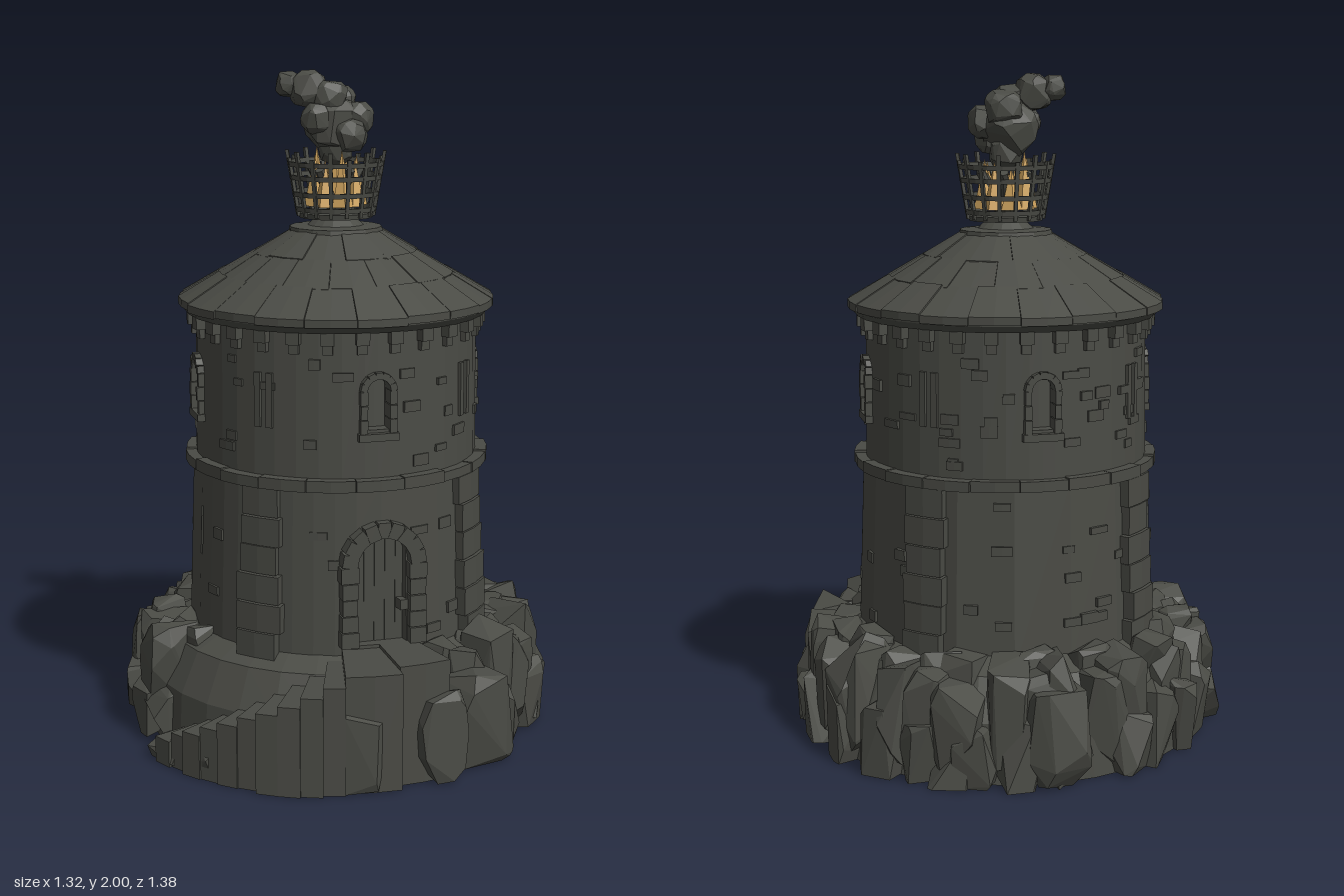
import * as THREE from 'three';
import { mergeGeometries } from 'three/addons/utils/BufferGeometryUtils.js';
import { ConvexGeometry } from 'three/addons/geometries/ConvexGeometry.js';

const PI = Math.PI, DEG = PI / 180;
let seed = 7;
const rand = (a = 0, b = 1) => {
  seed = (seed * 16807) % 2147483647;
  return a + (b - a) * seed / 2147483647;
};

// Box bent around the tower axis; phi 0 faces the front
function block(phi, w, r0, r1, y0, y1, { n = 1, slope = 0, fall = 0 } = {}) {
  const g = new THREE.BoxGeometry(w, y1 - y0, r1 - r0, n, 1, 1);
  g.translate(phi, (y0 + y1) / 2, (r0 + r1) / 2);
  const p = g.attributes.position;
  for (let i = 0; i < p.count; i++) {
    const a = p.getX(i), y = p.getY(i), z = p.getZ(i);
    const r = z - slope * (y - y0);
    p.setXYZ(i, r * Math.sin(a), y + fall * (z - r0), r * Math.cos(a));
  }
  return g;
}

// Faceted boulder with half sizes w, h, d, kept above the ground
function rock(phi, r, y, w, h, d, power = 0.6, count = 18) {
  const pts = [];
  for (let i = 0; i < count; i++) {
    const v = new THREE.Vector3(rand(-1, 1), rand(-1, 1), rand(-1, 1)).normalize();
    const f = (c) => Math.sign(c) * Math.abs(c) ** power;
    v.set(f(v.x) * w, Math.max(0, y + f(v.y) * h), r + f(v.z) * d);
    pts.push(v.applyAxisAngle(new THREE.Vector3(0, 1, 0), phi));
  }
  return new ConvexGeometry(pts);
}

const lathe = (pts, n = 32) => new THREE.LatheGeometry(pts.map(([x, y]) => new THREE.Vector2(x, y)), n);

// Curved wall with rectangular openings [phi, half angle, bottom, top]
function wall(y0, y1, r0, r1, slope, openings) {
  const out = [];
  openings.forEach(([phi, hw, a, b], i) => {
    const next = openings[(i + 1) % openings.length];
    const end = next[0] - next[1] + (i === openings.length - 1 ? 2 * PI : 0), start = phi + hw;
    out.push(block((start + end) / 2, end - start, r0, r1, y0, y1, { n: 9, slope }));
    const at = (y) => slope * (y - y0);
    if (a > y0) out.push(block(phi, 2 * hw, r0, r1, y0, a, { n: 2, slope }));
    out.push(block(phi, 2 * hw, r0 - at(b), r1 - at(b), b, y1, { n: 2, slope }));
  });
  return out;
}

// Arched stone surround made of jamb blocks and wedge stones
function archFrame(phi, half, y0, spring, t, z0, z1, jambs, stones) {
  const out = [], depth = z1 - z0, zc = (z0 + z1) / 2, h = (spring - y0) / jambs;
  for (const s of [-1, 1]) for (let i = 0; i < jambs; i++)
    out.push(new THREE.BoxGeometry(t * rand(0.9, 1.15), h * 0.95, depth + rand(-0.006, 0.006))
      .translate(s * (half + t / 2), y0 + h * (i + 0.5), zc));
  for (let i = 0; i < stones; i++) {
    const a = PI * (i + 0.5) / stones - PI / 2;
    out.push(new THREE.BoxGeometry((half + t / 2) * PI / stones * 1.06, t, depth + rand(-0.006, 0.006))
      .translate(0, half + t / 2, 0).rotateZ(a).translate(0, spring, zc));
  }
  return out.map((g) => g.rotateY(phi));
}

export function createModel() {
  seed = 7;
  const stone = new THREE.MeshStandardMaterial({ color: 0x4a4b45 });
  stone.name = 'dark stone';
  const flame = new THREE.MeshStandardMaterial({ color: 0xd2a660 });
  flame.name = 'flame';
  const model = new THREE.Group();
  model.name = 'watchtower';
  model.position.z = -0.02;
  const part = (name, geos, mat = stone) => {
    const flat = geos.map((g) => {
      const f = g.index ? g.toNonIndexed() : g;
      f.deleteAttribute('uv');
      f.computeVertexNormals();
      return f;
    });
    const mesh = new THREE.Mesh(mergeGeometries(flat), mat);
    mesh.name = name;
    model.add(mesh);
  };

  // Rocky mound, lower where the stair climbs round the front
  const steps = 10, low = -66 * DEG, high = -14 * DEG;
  const onStair = (a) => a > low - 0.06 && a < 0.3;
  part('moundCore', [lathe([[0, 0], [0.6, 0], [0.59, 0.18], [0.53, 0.3], [0.44, 0.34], [0, 0.34]])]);
  const rocks = [];
  for (let i = 0; i < 34; i++) {
    const a = -PI + (i + rand(0.1, 0.9)) * 2 * PI / 34;
    if (onStair(a)) continue;
    const top = rand(0.32, 0.385);
    rocks.push(rock(a, rand(0.52, 0.55), top / 2, rand(0.06, 0.085), top / 2 + 0.01, rand(0.095, 0.12)));
  }
  for (let i = 0; i < 30; i++) {
    const a = -PI + (i + rand()) * 2 * PI / 30;
    if (onStair(a)) {
      const top = 0.06 + 0.24 * Math.min(1, Math.max(0, (a - low) / (high - low)));
      rocks.push(rock(a, 0.62, top * 0.4, 0.085, top * 0.55, 0.085));
    } else rocks.push(rock(a, 0.56, 0.08, 0.075, rand(0.1, 0.17), rand(0.1, 0.12)));
  }
  for (let i = 0; i < 24; i++) {
    const a = -PI + (i + rand()) * 2 * PI / 24;
    if (!onStair(a)) rocks.push(rock(a, rand(0.47, 0.53), 0.29, 0.075, rand(0.06, 0.09), 0.06));
  }
  rocks.push(rock(27 * DEG, 0.6, 0.14, 0.13, 0.16, 0.1), rock(180 * DEG, 0.59, 0.15, 0.1, 0.16, 0.1));
  part('moundRocks', rocks);

  // Curving stair and landing
  const stair = [];
  const sw = (high - low) / steps;
  for (let i = 0; i < steps; i++)
    stair.push(block(low + sw * (i + 0.5), sw * 1.02, 0.42, 0.7 + rand(-0.012, 0.015), 0, 0.08 + i * 0.027));
  stair.push(block(-7 * DEG, 14 * DEG, 0.42, 0.68, 0, 0.35, { n: 2 }), block(7 * DEG, 14 * DEG, 0.42, 0.65, 0, 0.36, { n: 2 }));
  part('stair', stair);

  // Tower walls with door, slits and windows
  const side = PI / 2 - 0.15;
  part('lowerWall', wall(0.3, 0.84, 0.38, 0.458, 0.035,
    [[-side, 0.014, 0.56, 0.71], [0.02, 0.17, 0.36, 0.7], [side, 0.014, 0.56, 0.71]]));
  const quarters = [0, 1, 2, 3].map((i) => i * PI / 2);
  part('upperWall', wall(0.84, 1.31, 0.37, 0.432, 0.012, quarters.map((a) => [a, 0.09, 1.0, 1.145])));
  part('upperCore', [lathe([[0, 0.84], [0.39, 0.84], [0.385, 1.3], [0, 1.3]])]);
  part('door', [-2, -1, 0, 1, 2].map((i) => new THREE.BoxGeometry(0.031, 0.36, 0.02).translate(0.01 + i * 0.032, 0.53, 0.41)));
  part('doorFrame', archFrame(0, 0.08, 0.36, 0.605, 0.047, 0.39, 0.474, 5, 9).map((g) => g.translate(0.01, 0, 0)));
  part('windowFrames', quarters.flatMap((a) => [
    ...archFrame(a, 0.034, 0.99, 1.115, 0.02, 0.39, 0.445, 3, 7),
    new THREE.BoxGeometry(0.12, 0.022, 0.06).translate(0, 0.98, 0.418).rotateY(a)]));
  part('slitFrames', [45, 135, 225, 315].flatMap((d) => [-1, 1].map((s) =>
    block(d * DEG + s * 0.045, 0.045, 0.4, 0.438, 1.0, 1.16))));

  // Corner buttresses of stacked blocks
  const buttress = [];
  for (const d of [45, 135, 225, 315]) for (let i = 0; i < 6; i++) {
    const y = 0.31 + i * 0.086;
    buttress.push(block(d * DEG + rand(-0.01, 0.01), rand(0.25, 0.31), 0.4, 0.488 - i * 0.005 + rand(-0.004, 0.004), y, y + 0.084, { n: 2 }));
  }
  part('buttresses', buttress);

  // Scattered raised bricks
  const bricks = [];
  for (let i = 0; i < 110; i++) {
    const upper = i % 2, a = rand(0, 2 * PI);
    const row = Math.floor(rand(0, 10));
    const y = upper ? 0.88 + row * 0.033 : 0.37 + row * 0.044;
    const r = upper ? 0.432 : 0.458 - 0.035 * (y - 0.3);
    const q = Math.abs(Math.sin(a * 2));
    if (q < 0.3) continue;
    bricks.push(block(a, rand(0.07, 0.15), r - 0.03, r + rand(0.002, 0.007), y, y + rand(0.02, 0.034), { n: 2 }));
  }
  part('raisedBricks', bricks);

  // String course, corbels and eave ring
  const ring = [], corbels = [];
  for (let i = 0; i < 20; i++)
    ring.push(block(i * PI / 10, PI / 10 * 0.985, 0.4, 0.464 + rand(-0.005, 0.005), 0.825, 0.857 + rand(-0.004, 0.004), { n: 2 }));
  for (let i = 0; i < 28; i++) {
    const a = (i + 0.5) * PI / 14;
    corbels.push(block(a, 0.085, 0.4, 0.455, 1.25, 1.3), block(a, 0.065, 0.4, 0.443, 1.222, 1.25));
  }
  part('stringCourse', ring);
  part('corbels', corbels);
  part('eave', [lathe([[0, 1.285], [0.455, 1.285], [0.472, 1.305], [0.474, 1.325], [0, 1.325]])]);

  // Conical roof of overlapping slabs
  part('roofCore', [lathe([[0, 1.31], [0.474, 1.31], [0.474, 1.322], [0.13, 1.524], [0, 1.524]])]);
  const tiles = [], fall = -0.585;
  for (const [r0, r1, n, turn] of [[0.13, 0.25, 12, 0.1], [0.245, 0.36, 16, 0.25], [0.355, 0.48, 20, 0]])
    for (let i = 0; i < n; i++) {
      const y = 1.324 + (0.474 - r0) * 0.585 + rand(-0.002, 0.004), w = 2 * PI / n;
      tiles.push(block(turn + i * w, w * 0.99, r0, r1 + rand(-0.004, 0.003), y - 0.015, y + 0.008, { n: 2, fall }));
    }
  part('roofSlabs', tiles);
  part('roofCap', [lathe([[0, 1.5], [0.145, 1.515], [0.14, 1.538], [0.085, 1.542], [0.065, 1.56], [0.05, 1.565], [0.06, 1.58], [0, 1.58]], 16)]);

  // Iron fire basket
  const basket = [lathe([[0, 1.565], [0.112, 1.565], [0.115, 1.58], [0, 1.58]], 16)];
  const rAt = (y) => 0.115 + (y - 1.57) * 0.17;
  for (const y of [1.585, 1.63, 1.68, 1.72]) {
    const r = rAt(y);
    basket.push(lathe([[r - 0.005, y], [r + 0.005, y], [r + 0.007, y + 0.014], [r - 0.003, y + 0.014], [r - 0.005, y]], 20));
  }
  for (let i = 0; i < 16; i++) {
    const tall = 1.745 + (i % 2) * 0.02;
    basket.push(block(i * PI / 8, 0.085, 0.11, 0.12, 1.57, tall, { slope: -0.17 }));
  }
  part('fireBasket', basket);

  // Flames and burning logs
  const flames = [], logs = [];
  for (let i = 0; i < 9; i++) {
    const a = i * 2 * PI / 8, r = i === 8 ? 0 : 0.065, h = rand(0.12, 0.18);
    flames.push(new THREE.ConeGeometry(0.034, h, 5).translate(0, 1.6 + h / 2, r).rotateY(a));
    if (i < 5) logs.push(new THREE.CylinderGeometry(0.016, 0.018, 0.15, 6).rotateX(0.5)
      .translate(0, 1.645, 0.04).rotateY(i * 1.256 + 0.3));
  }
  part('flames', flames, flame);
  part('logs', logs);

  // Smoke plume
  const puffs = [
    [0, 1.77, 0, 0.055], [-0.01, 1.84, -0.01, 0.088], [0.06, 1.86, 0.01, 0.055], [-0.065, 1.86, 0.02, 0.05],
    [0.02, 1.9, -0.05, 0.06], [-0.02, 1.92, 0, 0.06], [-0.08, 1.945, -0.02, 0.06], [-0.135, 1.96, -0.04, 0.042],
    [0.03, 1.81, 0.04, 0.055]];
  part('smoke', puffs.map(([x, y, z, r]) => rock(0, 0, y, r, r, r, 0.9, 40).translate(x, 0, z)));

  return model;
}
